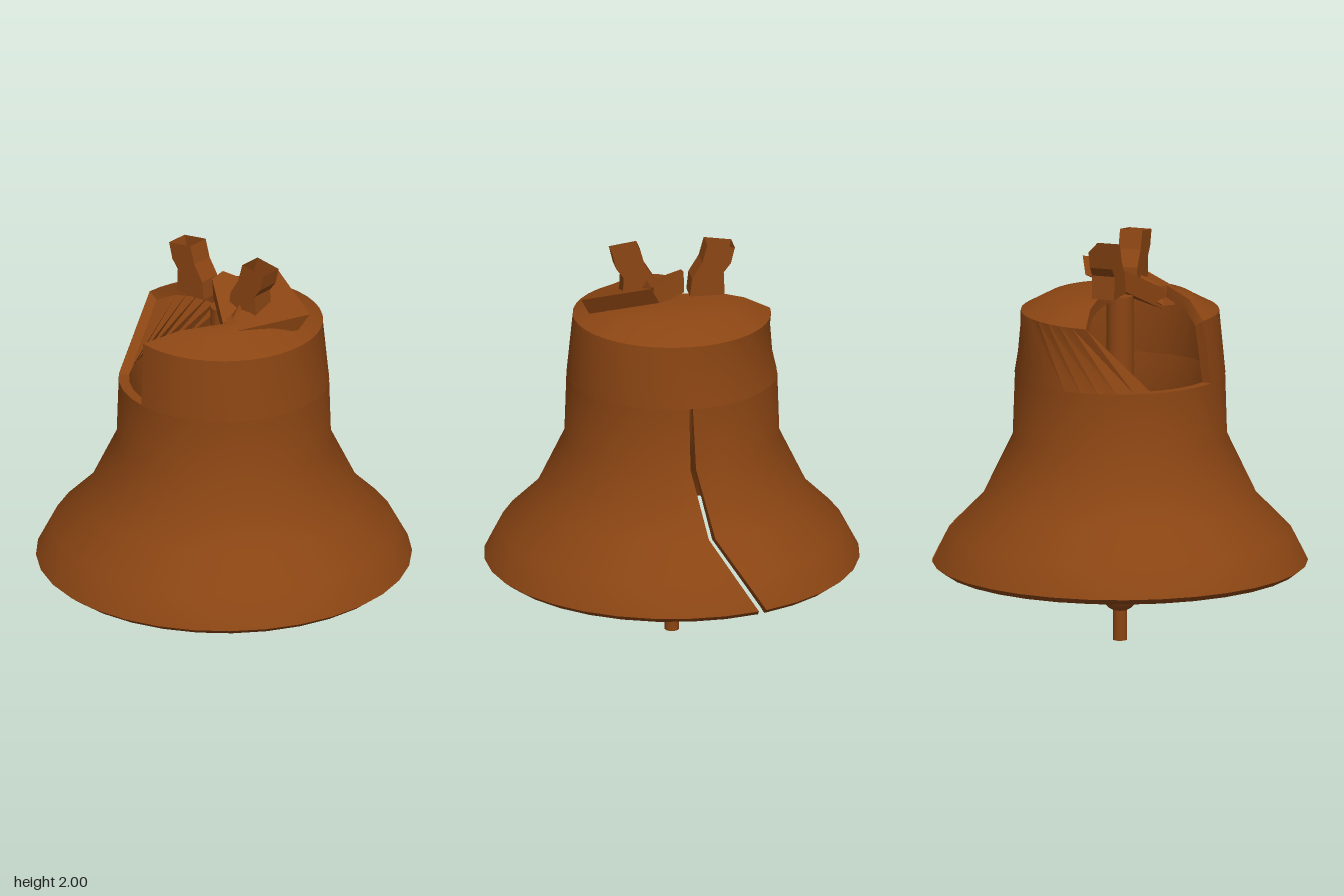
import * as THREE from 'three';
import { toCreasedNormals } from 'three/addons/utils/BufferGeometryUtils.js';

const bronze = new THREE.MeshStandardMaterial({ color: 0x8b4513, side: THREE.DoubleSide });
const rad = THREE.MathUtils.degToRad;

function mesh(name, geometry) {
  const m = new THREE.Mesh(geometry, bronze);
  m.name = name;
  return m;
}

function fromTriangles(tris, crease) {
  const g = new THREE.BufferGeometry();
  g.setAttribute('position', new THREE.Float32BufferAttribute(tris.flat(2), 3));
  return toCreasedNormals(g, rad(crease));
}

const quad = (out, a, b, c, d) => out.push([a, b, c], [a, c, d]);

// Thick shell swept about y. Each level: [outer r, outer y, inner r, inner y, start angle, end angle]
function brokenShell(levels, steps = 32) {
  const n = levels.length;
  const at = (r, y, l, j) => {
    const a = rad(l[4] + (l[5] - l[4]) * j / steps);
    return [r * Math.sin(a), y, r * Math.cos(a)];
  };
  const section = (j) => [
    ...levels.map((l) => at(l[0], l[1], l, j)),
    ...levels.map((l) => at(l[2], l[3], l, j)).reverse(),
  ];
  const tris = [];
  for (let j = 0; j < steps; j++) {
    const s = section(j), t = section(j + 1);
    s.forEach((p, i) => {
      const k = (i + 1) % s.length;
      quad(tris, p, t[i], t[k], s[k]);
    });
  }
  // broken faces at both ends of the sweep
  const s = section(0), e = section(steps), m = 2 * n - 1;
  for (let i = 0; i < n - 1; i++) {
    quad(tris, s[m - i], s[i], s[i + 1], s[m - i - 1]);
    quad(tris, e[i], e[m - i], e[m - i - 1], e[i + 1]);
  }
  return fromTriangles(tris, 38);
}

// Skin over a stack of corner loops
function loft(loops, capped) {
  const tris = [];
  for (let i = 0; i < loops.length - 1; i++) {
    const a = loops[i], b = loops[i + 1];
    a.forEach((p, k) => {
      const q = (k + 1) % a.length;
      quad(tris, p, a[q], b[q], b[k]);
    });
  }
  if (capped) {
    const a = loops[0], b = loops[loops.length - 1];
    for (let k = 1; k < a.length - 1; k++) {
      tris.push([a[0], a[k + 1], a[k]], [b[0], b[k], b[k + 1]]);
    }
  }
  return fromTriangles(tris, 10);
}

// Flat fragment: top corners, counter-clockwise from above, plus the offset to its underside
function shard(top, offset) {
  return loft([top.map((p) => p.map((v, i) => v + offset[i])), top], true);
}

export function createModel() {
  const group = new THREE.Group();
  group.name = 'brokenBell';

  // flared body, split by a widening crack: [outer r, y, inner r, y, crack angle, crack width]
  const body = [
    [0.87, 0.37, 0.86, 0.37, 109.5, 2.6],
    [0.91, 0.40, 0.845, 0.40, 108.6, 2.6],
    [0.83, 0.55, 0.775, 0.54, 103.2, 2.6],
    [0.67, 0.71, 0.62, 0.69, 96.5, 2.8],
    [0.52, 1.02, 0.47, 1.01, 91, 3],
    [0.51, 1.33, 0.46, 1.33, 90.5, 2],
  ].map(([ro, yo, ri, yi, a, w]) => [ro, yo, ri, yi, a + w, a + 360]);
  group.add(mesh('bellBody', brokenShell(body)));

  // shoulder and crown with a large piece missing at the back right
  const hole = 225;
  const crown = [
    [0.51, 1.33, 0.46, 1.33, 34, -8],
    [0.48, 1.64, 0.435, 1.61, 31, -46],
    [0.35, 1.71, 0.33, 1.66, 48, -50],
    [0.25, 1.735, 0.24, 1.68, 88, -52],
    [0.12, 1.74, 0.12, 1.69, 92, -58],
    [0.02, 1.74, 0.02, 1.69, 92, -62],
  ].map(([ro, yo, ri, yi, a, b]) => [ro, yo, ri, yi, hole + a, hole + b + 360]);
  group.add(mesh('bellCrown', brokenShell(crown)));

  // snapped, hollow halves of the hanging loop
  const strap = [
    [0.08, 1.74, 0.25, 1.74],
    [0.09, 1.83, 0.245, 1.855],
    [0.14, 1.91, 0.28, 1.90],
    [0.165, 2.00, 0.30, 1.98],
  ];
  const w = 0.057;
  for (const side of [1, -1]) {
    const loops = strap.map(([zi, yi, zo, yo]) => [
      [-w * side, yi, zi * side], [-w * side, yo, zo * side],
      [w * side, yo, zo * side], [w * side, yi, zi * side],
    ]);
    group.add(mesh(side > 0 ? 'frontLoopHalf' : 'backLoopHalf', loft(loops, false)));
  }

  // loosened crown fragments
  group.add(mesh('frontFragment', shard([
    [0.24, 1.86, 0.14], [0.02, 1.83, 0.13], [-0.15, 1.73, 0.17],
    [-0.18, 1.72, 0.25], [0.10, 1.77, 0.46],
  ], [-0.03, -0.085, -0.045])));
  group.add(mesh('centreFragment', shard([
    [0.05, 1.865, -0.05], [-0.03, 1.85, -0.05], [-0.18, 1.72, 0.15], [0.12, 1.82, 0.11],
  ], [0.01, -0.1, 0])));

  // clapper: rod, ball and tip
  const clapper = new THREE.Group();
  clapper.name = 'clapper';
  const rod = mesh('clapperRod', new THREE.CylinderGeometry(0.065, 0.065, 1.44, 16));
  rod.position.y = 0.99;
  const ball = mesh('clapperBall', new THREE.SphereGeometry(0.093, 20, 14));
  ball.position.y = 0.24;
  const tip = mesh('clapperTip', new THREE.CylinderGeometry(0.035, 0.035, 0.2, 12));
  tip.position.y = 0.105;
  clapper.add(rod, ball, tip);
  group.add(clapper);

  // settle on the ground
  group.position.y = -0.005;
  return group;
}
